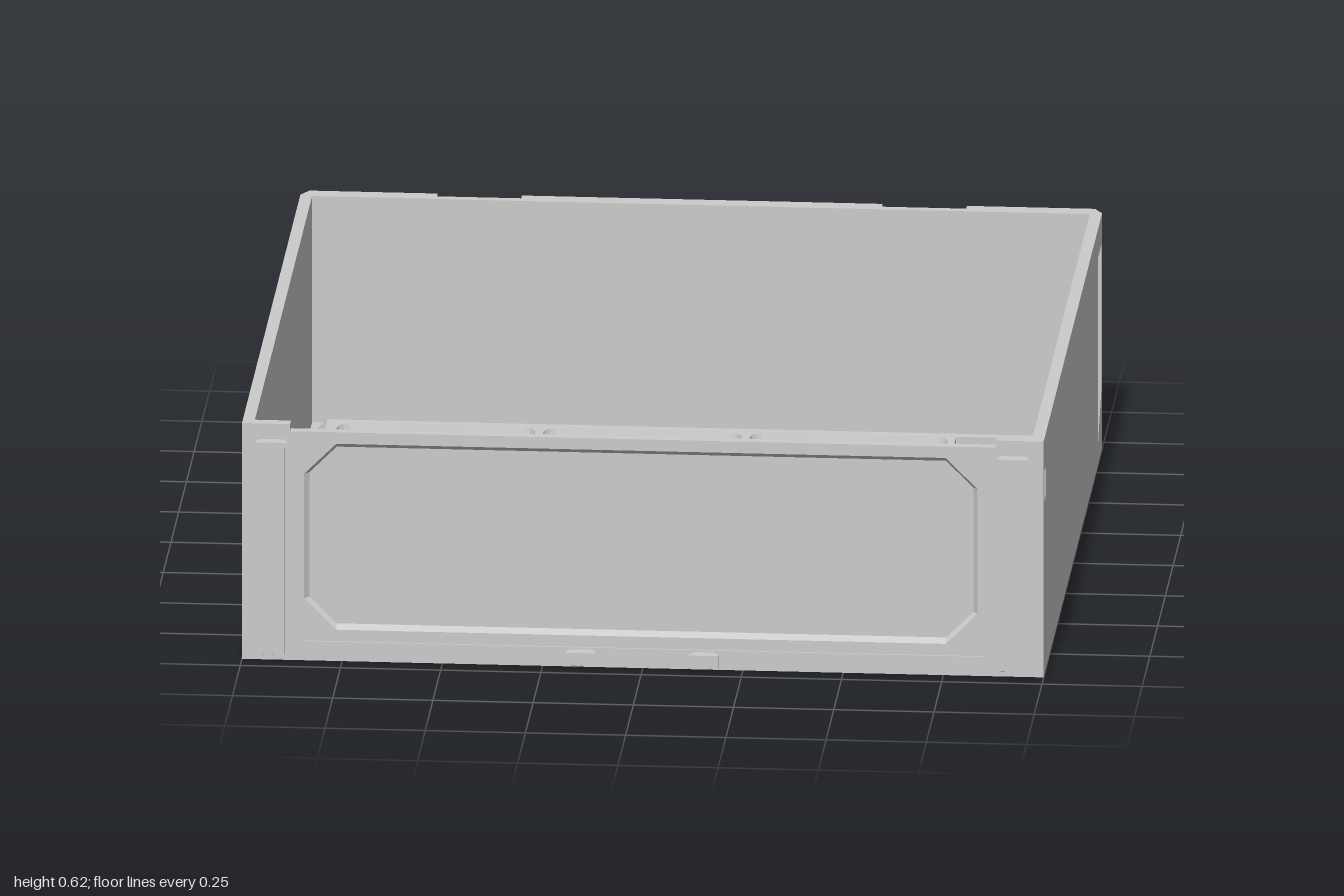
import * as THREE from 'three';

const material = new THREE.MeshStandardMaterial({ color: 0xcccccc, flatShading: true });
const toPath = (pts, C = THREE.Path) => new C(pts.map(([u, v]) => new THREE.Vector2(u, v)));
const rect = (u0, u1, v0, v1) => [[u0, v0], [u1, v0], [u1, v1], [u0, v1]];
const HALF_PI = Math.PI / 2;

// Rectangle with its corners cut off by c
const cutRect = (u0, u1, v0, v1, c) => [
  [u0 + c, v0], [u1 - c, v0], [u1, v0 + c], [u1, v1 - c],
  [u1 - c, v1], [u0 + c, v1], [u0, v1 - c], [u0, v0 + c]];

// Circle or rounded square as a list of points
const circle = (x, y, r, n = 16) => Array.from({ length: n }, (_, i) => {
  const a = i / n * Math.PI * 2;
  return [x + r * Math.cos(a), y + r * Math.sin(a)];
});
function roundSquare(cx, cy, h, r) {
  const pts = [];
  for (let q = 0; q < 4; q++) {
    const m = (q + 0.5) * HALF_PI;
    const sx = Math.sign(Math.cos(m)), sy = Math.sign(Math.sin(m));
    for (let i = 0; i <= 4; i++) {
      const a = (q + i / 4) * HALF_PI;
      pts.push([cx + sx * (h - r) + r * Math.cos(a), cy + sy * (h - r) + r * Math.sin(a)]);
    }
  }
  return pts;
}

// Plus-shaped opening that leaves a rounded tab in each corner of a cell
function plus(cx, cy) {
  const quarter = [[0.085, 0.232], [0.1, 0.21]];
  for (let i = 0; i <= 6; i++) {
    const a = Math.PI + i / 6 * HALF_PI;
    quarter.push([0.16 + 0.06 * Math.cos(a), 0.16 + 0.06 * Math.sin(a)]);
  }
  quarter.push([0.21, 0.1], [0.232, 0.085]);
  const pts = [];
  for (let q = 0; q < 4; q++) {
    const c = Math.cos(-q * HALF_PI), s = Math.sin(-q * HALF_PI);
    for (const [x, y] of quarter) pts.push([cx + x * c - y * s, cy + x * s + y * c]);
  }
  return pts;
}

// Extruded plate; place() moves it, rule() may then shift single vertices
function slab(name, outline, holes, depth, place, rule) {
  const shape = toPath(outline, THREE.Shape);
  shape.holes = holes.map(h => toPath(h));
  const g = new THREE.ExtrudeGeometry(shape, { depth, bevelEnabled: false });
  place(g);
  if (rule) {
    const p = g.attributes.position, v = new THREE.Vector3();
    for (let i = 0; i < p.count; i++) {
      rule(v.fromBufferAttribute(p, i));
      p.setXYZ(i, v.x, v.y, v.z);
    }
    g.computeVertexNormals();
  }
  const mesh = new THREE.Mesh(g, material);
  mesh.name = name;
  return mesh;
}
// Horizontal plate with outline in (x, z), its upper face at y = top
const flat = (name, outline, holes, depth, top, rule) =>
  slab(name, outline, holes, depth, g => g.rotateX(HALF_PI).translate(0, top, 0), rule);

// Pull points lying in a recess inwards, which gives it sloping sides
function slope(v, [x0, x1, y0, y1], b) {
  const e = 1e-4;
  if (v.x < x0 - e || v.x > x1 + e || v.y < y0 - e || v.y > y1 + e) return;
  v.x = THREE.MathUtils.clamp(v.x, x0 + b, x1 - b);
  v.y = THREE.MathUtils.clamp(v.y, y0 + b, y1 - b);
}

export function createModel() {
  const model = new THREE.Group();
  const H = 0.615;
  const cells = [];
  for (const x of [-0.645, -0.13, 0.385])
    for (const z of [-0.52, -0.005, 0.51]) cells.push([x, z]);

  // Floor: lower layer with screw holes, upper layer with wider counterbores
  const screws = r => cells.flatMap(([x, z]) =>
    [[-1, -1], [1, -1], [1, 1], [-1, 1]].map(([i, j]) => circle(x + i * 0.16, z + j * 0.16, r)));
  const openings = cells.map(([x, z]) => plus(x, z));
  const floorOutline = rect(-0.97, 0.97, -0.935, 0.915);
  model.add(
    flat('floorLower', floorOutline, [...openings, ...screws(0.015)], 0.015, 0.015),
    flat('floorUpper', floorOutline, [...openings, ...screws(0.038)], 0.01, 0.025));

  // Raised grid with sloping outer sides, nine cells and a side trough
  const trough = [
    [0.65, -0.765], [0.89, -0.765], [0.89, -0.29], [0.86, -0.28], [0.86, -0.235], [0.89, -0.225],
    [0.89, 0.225], [0.86, 0.235], [0.86, 0.28], [0.89, 0.29], [0.89, 0.745], [0.65, 0.745],
    [0.65, 0.29], [0.69, 0.28], [0.69, 0.235], [0.65, 0.225],
    [0.65, -0.225], [0.69, -0.235], [0.69, -0.28], [0.65, -0.29]];
  const gridTop = 0.08;
  model.add(flat('cellGrid', rect(-0.968, 0.968, -0.83, 0.81),
    [...cells.map(([x, z]) => roundSquare(x, z, 0.233, 0.04)), trough], 0.055, gridTop, v => {
      if (v.y < gridTop - 0.01) return;
      if (Math.abs(v.x) > 0.96) {
        v.x = Math.sign(v.x) * 0.92;
        v.z = v.z < 0 ? -0.79 : 0.77;
        return;
      }
      const cell = cells.find(([x, z]) => Math.abs(v.x - x) < 0.24 && Math.abs(v.z - z) < 0.24);
      if (!cell) return;
      v.x = cell[0] + (v.x - cell[0]) * 1.06;
      v.z = cell[1] + (v.z - cell[1]) * 1.06;
    }));

  // Side walls: inner skin and outer skin with a shallow recessed panel
  const sidePanel = [[0.75, 0.54], [-0.92, 0.54], [-0.92, 0.16], [-0.82, 0.06],
    [0.52, 0.06], [0.84, 0.37], [0.84, 0.44]];
  for (const s of [1, -1]) {
    const side = new THREE.Group();
    side.name = s > 0 ? 'leftWall' : 'rightWall';
    const turn = pts => pts.map(([z, y]) => [-s * z, y]);
    const outline = turn(rect(-0.935, 0.915, 0, H));
    const slot = turn(rect(0.88, 0.91, 0.45, 0.53));
    const at = x => g => g.rotateY(s * HALF_PI).translate(s * x, 0, 0);
    side.add(
      slab('sideSkin', outline, [slot], 0.02, at(0.97)),
      slab('sideFrame', outline, [slot, turn(sidePanel)], 0.01, at(0.99)));
    model.add(side);
  }

  // Front wall, lower between its end posts, with a recessed panel
  const frontOutline = [[-1, 0], [1, 0], [1, H], [0.88, H], [0.88, 0.595], [-0.88, 0.595], [-0.88, H], [-1, H]];
  const front = [-0.845, 0.835, 0.08, 0.565];
  const border = [[-1, 0], [1, 0], [1, H], [0.88, H], [0.88, 0.595], [0.87, 0.585], [0.87, 0.07], [0.85, 0.05],
    [-0.85, 0.05], [-0.87, 0.07], [-0.87, 0.585], [-0.88, 0.595], [-0.88, H], [-1, H]];
  model.add(
    slab('frontSkin', frontOutline, [], 0.01, g => g.translate(0, 0, 0.915)),
    slab('frontFrame', frontOutline, [cutRect(...front, 0.08)], 0.015, g => g.translate(0, 0, 0.925),
      v => { if (v.z < 0.93) slope(v, front, 0.012); }),
    slab('frontBorder', border, [], 0.005, g => g.translate(0, 0, 0.94)));

  // Dovetail rails and clips on the front
  const dovetail = (name, x, inner, outer, y0, y1) => flat(name,
    [[x - inner, 0.94], [x + inner, 0.94], [x + outer, 0.965], [x + outer, 0.975], [x - outer, 0.975], [x - outer, 0.965]],
    [], y1 - y0, y1, v => { if (v.y < y0 + 0.001 && v.z > 0.95) v.y += 0.012; });
  for (const s of [1, -1]) {
    model.add(
      dovetail('frontRail', s * 0.925, 0.022, 0.034, 0.01, 0.565),
      dovetail('railHead', s * 0.925, 0.03, 0.038, 0.55, 0.575),
      dovetail('frontClip', s * 0.153, 0.02, 0.037, 0, 0.045));
  }

  // Back wall with sloping recesses, two top notches and chamfered ends
  const recesses = [
    [-0.42, 0.42, 0.04, 0.57, 0.04],
    ...[1, -1].flatMap(s => [[0.68, 0.965, 0.05, 0.57, 0.04], [0.45, 0.655, 0.04, 0.29, 0.035]]
      .map(([a, b, c, d, e]) => (s > 0 ? [a, b, c, d, e] : [-b, -a, c, d, e])))];
  const recessHoles = recesses.map(([a, b, c, d], i) => i % 2 || i === 0 ? rect(a, b, c, d) : cutRect(a, b, c, d, 0.05));
  const notchLow = 0.37;
  const backOutline = [[-1, 0], [1, 0], [1, H],
    [0.66, H], [0.66, notchLow], [0.45, notchLow], [0.45, H],
    [-0.45, H], [-0.45, notchLow], [-0.66, notchLow], [-0.66, H], [-1, H]];
  model.add(
    slab('backSkin', rect(-1, 1, 0, H), [], 0.01, g => g.translate(0, 0, -0.945)),
    slab('backFrame', backOutline, recessHoles, 0.035, g => g.rotateY(Math.PI).translate(0, 0, -0.945), v => {
      if (v.z < -0.97) {
        if (Math.abs(v.x) > 0.99) v.x = Math.sign(v.x) * 0.98;
      } else for (const [a, b, c, d, e] of recesses) slope(v, [a, b, c, d], e);
    }));
  for (const s of [1, -1]) {
    model.add(
      slab('notchBack', rect(s * 0.555 - 0.105, s * 0.555 + 0.105, notchLow, H), [], 0.012,
        g => g.translate(0, 0, -0.957)),
      slab('notchLedge', rect(s * 0.555 - 0.075, s * 0.555 + 0.075, notchLow, notchLow + 0.015), [], 0.015,
        g => g.translate(0, 0, -0.972)));
  }
  return model;
}
